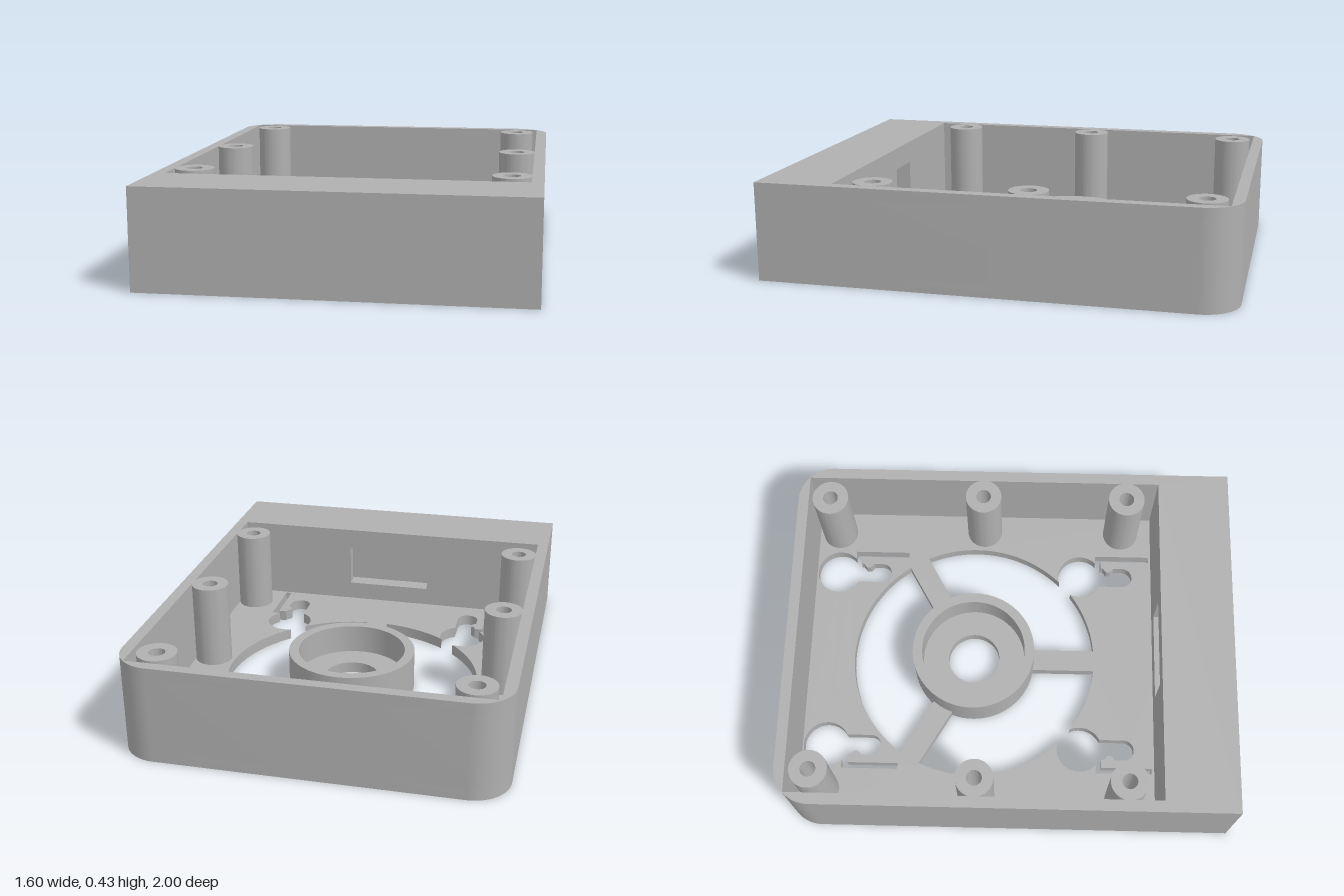
import * as THREE from 'three';
import { toCreasedNormals } from 'three/addons/utils/BufferGeometryUtils.js';

// Plan coordinates are (x, v) with v = -z, extruded upwards.
const WALL = 0.05, TOP = 0.425;
const FAN = { v: 0.172, r: 0.568, hub: 0.283, spoke: 0.05 };
const KEY = { x: 0.435, back: 0.843, front: -0.329, r: 0.105 };

const arc = (cx, cy, r, a0, a1, n = 32) => Array.from({ length: n + 1 }, (_, i) => {
  const a = a0 + (a1 - a0) * i / n;
  return [cx + r * Math.cos(a), cy + r * Math.sin(a)];
});
const circle = (x, v, r) => arc(x, v, r, 0, Math.PI * 2, 64).slice(0, -1);
const rect = (x0, x1, v0, v1) => [[x0, v0], [x1, v0], [x1, v1], [x0, v1]];
const mirror = (pts) => pts.map(([x, v]) => [-x, v]);
const toVectors = (pts) => pts.map(([x, v]) => new THREE.Vector2(x, v));

function extrude(outline, holes, depth) {
  const shape = new THREE.Shape(toVectors(outline));
  for (const h of holes) shape.holes.push(new THREE.Path(toVectors(h)));
  return toCreasedNormals(new THREE.ExtrudeGeometry(shape, { depth, bevelEnabled: false }), 0.5);
}

// Keyhole with a sprung latch finger; the round part is left open between angles a and b.
function keyhole(v, a, b) {
  const r = KEY.r, w = 0.048, gap = -0.075;
  const slotStart = Math.PI + Math.acos(w / r);
  const gapX = Math.sqrt(r * r - gap * gap);
  const pts = [
    ...arc(0, 0, r, a, slotStart, 24),
    ...arc(0, -0.205, w, Math.PI, Math.PI * 2, 20),
    [w, -0.165], [0.028, -0.148], [0.028, -0.13], [w, -0.113], [w, -0.102],
    [0.084, -0.102], [0.084, -0.334], [0.111, -0.334], [0.111, gap],
    ...arc(0, 0, r, Math.atan2(gap, gapX), b, 32),
  ];
  return pts.map(([px, pv]) => [px + KEY.x, pv + v]);
}

// Opening between two spokes, without the return along the hub.
const hubArc = (a0, a1) => {
  const d = Math.asin(FAN.spoke / FAN.hub);
  return arc(0, FAN.v, FAN.hub, a1 - d, a0 + d);
};

function floorHoles() {
  const d = Math.asin(FAN.spoke / FAN.r);
  const down = -Math.PI / 2, right = Math.PI / 6, left = Math.PI * 5 / 6;
  const top = [...arc(0, FAN.v, FAN.r, right + d, left - d, 48), ...hubArc(right, left)];

  // The front keyholes break into the side openings.
  const dx = -KEY.x, dv = FAN.v - KEY.front, dist = Math.hypot(dx, dv);
  const along = (dist ** 2 + KEY.r ** 2 - FAN.r ** 2) / (2 * dist);
  const toFan = Math.atan2(dv, dx), spread = Math.acos(along / KEY.r);
  const toKey = toFan - Math.PI;
  const fanSpread = Math.asin(KEY.r * Math.sin(spread) / FAN.r);
  const side = [
    ...arc(0, FAN.v, FAN.r, down + d, toKey - fanSpread, 24).slice(0, -1),
    ...keyhole(KEY.front, toFan + spread, toFan - spread),
    ...arc(0, FAN.v, FAN.r, toKey + fanSpread, right - d, 40).slice(1),
    ...hubArc(down, right),
  ];
  const back = keyhole(KEY.back, 1.7, 1.7).slice(0, -1);
  return [top, side, mirror(side), back, mirror(back), circle(0, FAN.v, 0.12)];
}

export function createModel() {
  const group = new THREE.Group();
  const grey = new THREE.MeshStandardMaterial({ color: 0xb0b0b0 });
  grey.name = 'plainGrey';

  const add = (name, geometry, y) => {
    const mesh = new THREE.Mesh(geometry, grey);
    mesh.name = name;
    mesh.rotation.x = -Math.PI / 2;
    mesh.position.y = y;
    group.add(mesh);
    return mesh;
  };

  // Square front corners, rounded back corners
  const outline = [
    [-0.8, -1], [0.8, -1],
    ...arc(0.64, 0.84, 0.16, 0, Math.PI / 2, 20),
    ...arc(-0.64, 0.84, 0.16, Math.PI / 2, Math.PI, 20),
  ];

  add('floor', extrude(outline, floorHoles(), WALL), 0);
  add('walls', extrude(outline, [rect(-0.75, 0.75, -0.95, 0.953)], TOP - 2 * WALL), WALL);
  // Upper rim, which also covers the front compartment
  add('rimAndFrontCover', extrude(outline, [rect(-0.75, 0.75, -0.675, 0.953)], WALL), TOP - WALL);

  // Partition with a window into the front compartment
  const partition = add('partition',
    extrude(rect(-0.75, 0.75, WALL, TOP - WALL), [rect(-0.2, 0.2, 0.135, 0.325)], WALL), 0);
  partition.rotation.x = 0;
  partition.position.z = 0.675;

  // Cup around the hub hole
  add('hubCup', extrude(circle(0, FAN.v, FAN.hub), [circle(0, FAN.v, 0.239)], 0.13), WALL);

  // Screw posts in mirrored pairs
  const posts = [['back', 0.647, 0.853], ['middle', 0.67, 0.14], ['front', 0.67, -0.527]];
  for (const [place, x, v] of posts) {
    for (const [side, s] of [['Left', 1], ['Right', -1]]) {
      add(`${place}${side}ScrewPost`,
        extrude(circle(s * x, v, 0.083), [circle(s * x, v, 0.034)], TOP - WALL), WALL);
    }
  }
  return group;
}
